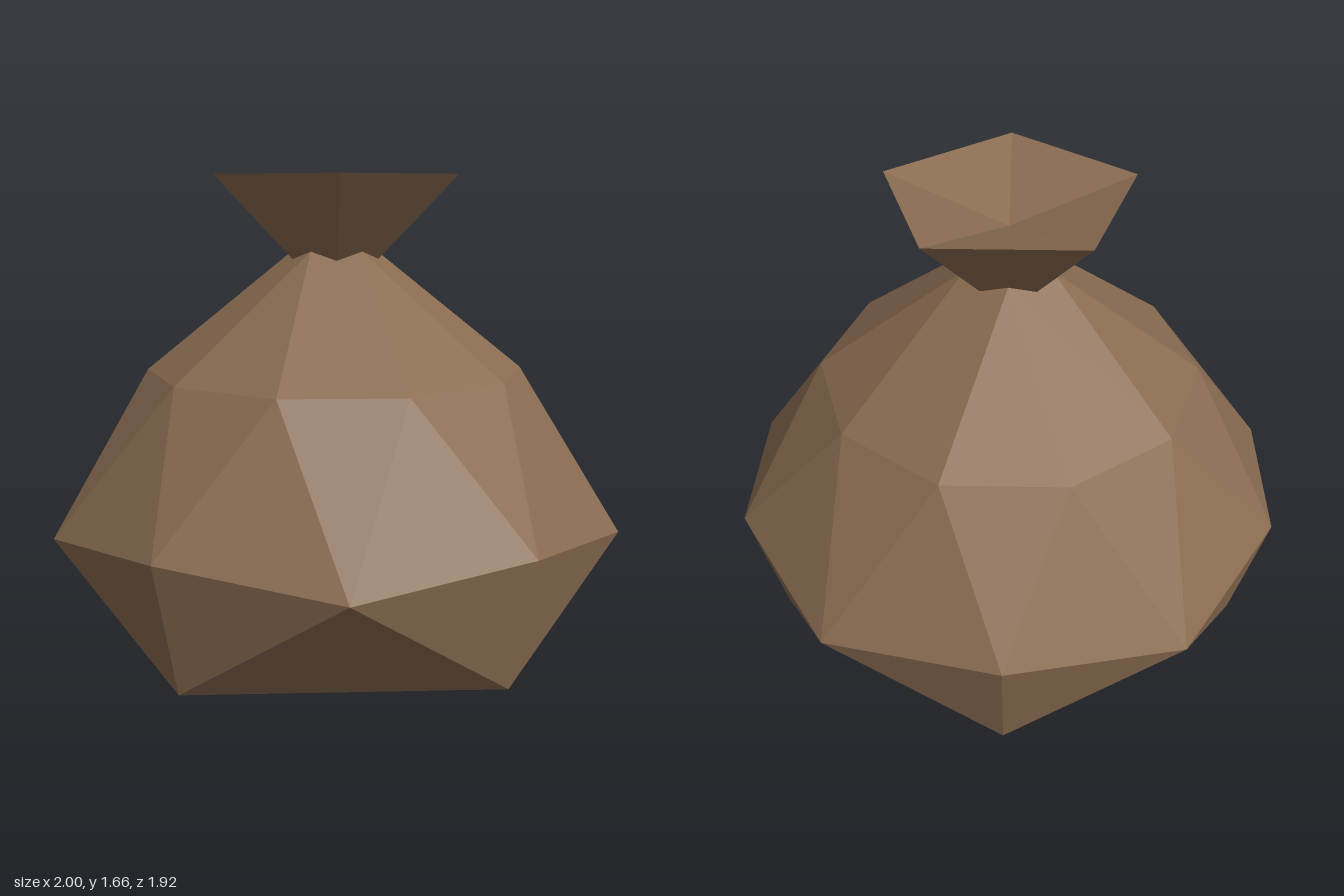
import * as THREE from 'three';

const CX = -0.012; // axis of the sack, slightly off the bounding-box centre
const point = (deg, r, y) => {
  const a = THREE.MathUtils.degToRad(deg);
  return [CX + r * Math.cos(a), y, r * Math.sin(a)];
};

// Ring of n points; r and y may be functions of the index
const ring = (n, start, r, y) =>
  Array.from({ length: n }, (_, i) => point(start + (i * 360) / n, r(i), y(i)));

function facetMesh(name, triangles, material) {
  const geometry = new THREE.BufferGeometry();
  geometry.setAttribute('position', new THREE.Float32BufferAttribute(triangles.flat(2), 3));
  geometry.computeVertexNormals(); // unshared corners give flat facets
  const mesh = new THREE.Mesh(geometry, material);
  mesh.name = name;
  return mesh;
}

function createSackBody(material) {
  const bottom = [CX, 0, 0];
  const top = [CX, 1.45, 0];
  const base = ring(5, 36, () => 0.88, () => 0.06);
  const belly = ring(10, 0, (i) => (i % 2 ? 0.988 : 1.012), (i) => (i % 2 ? 0.51 : 0.45));
  const shoulder = ring(10, 18, () => 0.666, () => 0.98);
  const neck = ring(5, 36, () => 0.15, () => 1.4);
  const tris = [];

  for (let i = 0; i < 5; i++) {
    const j = (i + 1) % 5;
    const e0 = belly[2 * i], odd = belly[2 * i + 1], e1 = belly[(2 * i + 2) % 10];
    // Underside and lower wall
    tris.push([bottom, base[i], base[j]]);
    tris.push([base[i], e0, odd], [base[i], odd, e1], [base[i], e1, base[j]]);
    // Slope gathered into the neck
    const s0 = shoulder[2 * i], s1 = shoulder[2 * i + 1], s2 = shoulder[(2 * i + 2) % 10];
    tris.push([s0, neck[i], s1], [s1, neck[i], neck[j]], [s1, neck[j], s2]);
    tris.push([neck[i], top, neck[j]]);
  }
  // Zigzag band from belly to shoulder
  for (let i = 0; i < 10; i++) {
    const j = (i + 1) % 10;
    tris.push([belly[i], shoulder[i], belly[j]], [shoulder[i], shoulder[j], belly[j]]);
  }
  return facetMesh('sackBody', tris, material);
}

function createGatheredTop(material) {
  const low = ring(5, 0, () => 0.1, () => 1.31);
  const rim = ring(5, 0, () => 0.437, () => 1.66);
  const dish = [CX, 1.54, 0];
  const tris = [];
  for (let i = 0; i < 5; i++) {
    const j = (i + 1) % 5;
    // Flared outside and sunken inside
    tris.push([low[i], rim[i], low[j]], [rim[i], rim[j], low[j]]);
    tris.push([rim[i], dish, rim[j]]);
  }
  return facetMesh('gatheredTop', tris, material);
}

export function createModel() {
  const burlap = new THREE.MeshStandardMaterial({ color: 0x8a6c51 });
  burlap.name = 'burlapBrown';
  const sack = new THREE.Group();
  sack.name = 'sack';
  sack.add(createSackBody(burlap), createGatheredTop(burlap));
  return sack;
}
